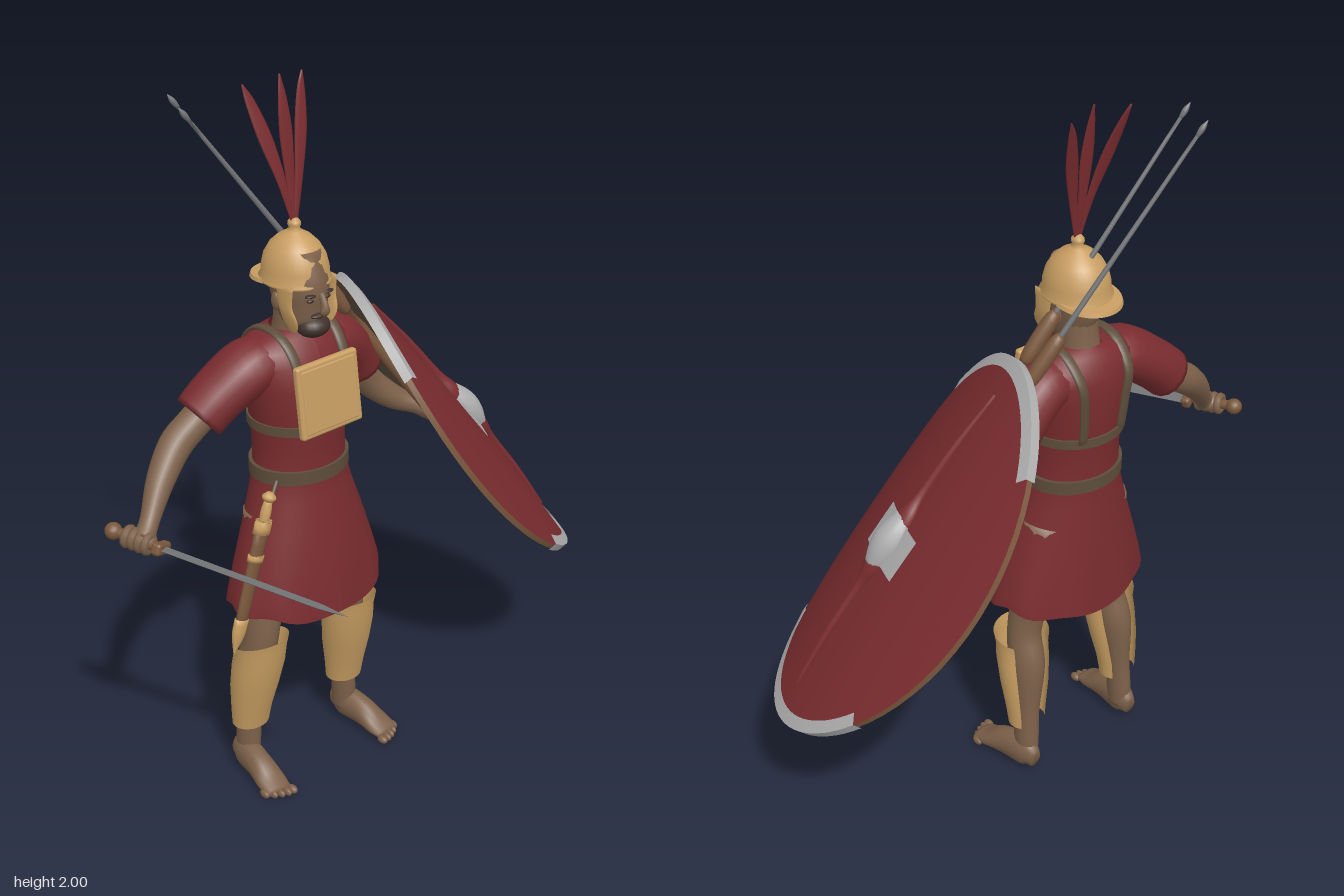
import * as THREE from 'three';
import { RoundedBoxGeometry } from 'three/addons/geometries/RoundedBoxGeometry.js';

const V = (x, y, z) => new THREE.Vector3(x, y, z);
const X = V(1, 0, 0), Y = V(0, 1, 0), Z = V(0, 0, 1);
const CX = -0.16; // body centre line

const make = (name, color, side = THREE.FrontSide) => {
  const m = new THREE.MeshStandardMaterial({ color, side });
  m.name = name;
  return m;
};
const red = make('red cloth', 0x7a2c2f, THREE.DoubleSide);
const gold = make('bronze', 0xc89e62, THREE.DoubleSide);
const skin = make('skin', 0x7d614a);
const leather = make('leather', 0x5e4d3b);
const wood = make('wood', 0x7a573c);
const silver = make('bright metal', 0xaeaeae, THREE.DoubleSide);
const steel = make('steel', 0x707274);
const hair = make('dark hair', 0x40312a);

function add(parent, name, geo, mat, x = 0, y = 0, z = 0) {
  const m = new THREE.Mesh(geo, mat);
  m.name = name;
  m.position.set(x, y, z);
  parent.add(m);
  return m;
}
const ball = (parent, name, mat, x, y, z, rx, ry = rx, rz = rx) =>
  add(parent, name, new THREE.SphereGeometry(1, 18, 12).scale(rx, ry, rz), mat, x, y, z);

function build(pos, idx) {
  const g = new THREE.BufferGeometry();
  g.setAttribute('position', new THREE.Float32BufferAttribute(pos, 3));
  g.setIndex(idx);
  g.computeVertexNormals();
  return g;
}

// Smooth tapering solid through points [x, y, z, radius across, radius along ref]
function limb(parent, name, mat, pts, ref = Z, sides = 16, steps = 5) {
  const path = new THREE.CatmullRomCurve3(pts.map(p => V(p[0], p[1], p[2])), false, 'catmullrom');
  const size = new THREE.CatmullRomCurve3(pts.map(p => V(p[3], p[4] ?? p[3], 0)), false, 'catmullrom');
  const n = (pts.length - 1) * steps, pos = [], idx = [];
  for (let i = 0; i <= n; i++) {
    const c = path.getPoint(i / n), r = size.getPoint(i / n), t = path.getTangent(i / n);
    const a = ref.clone().cross(t).normalize(), b = t.clone().cross(a);
    for (let j = 0; j < sides; j++) {
      const q = j / sides * Math.PI * 2;
      const p = c.clone().addScaledVector(a, r.x * Math.cos(q)).addScaledVector(b, r.y * Math.sin(q));
      pos.push(p.x, p.y, p.z);
      const k = i * sides + j, l = i * sides + (j + 1) % sides;
      if (i < n) idx.push(k, l, k + sides, l, l + sides, k + sides);
    }
  }
  const e = (n + 1) * sides;
  pos.push(...path.getPoint(0).toArray(), ...path.getPoint(1).toArray());
  for (let j = 0; j < sides; j++) {
    const l = (j + 1) % sides, o = n * sides;
    idx.push(e, l, j, e + 1, o + j, o + l);
  }
  return add(parent, name, build(pos, idx), mat);
}

// Surface patch from fn(u, v), facing du x dv
function patch(parent, name, mat, fn, nu, nv) {
  const pos = [], idx = [];
  for (let i = 0; i <= nu; i++) for (let j = 0; j <= nv; j++) {
    pos.push(...fn(i / nu, j / nv));
    const a = i * (nv + 1) + j, b = a + nv + 1;
    if (i < nu && j < nv) idx.push(a, b, a + 1, b, b + 1, a + 1);
  }
  return add(parent, name, build(pos, idx), mat);
}

function buildTunic(g) {
  // rows: y, half width, half depth, centre z
  const rows = [[.565, .245, .155, -.11], [.6, .24, .152, -.11], [.68, .217, .145, -.112], [.78, .185, .133, -.116],
    [.88, .152, .12, -.122], [.95, .135, .112, -.125], [1.03, .13, .116, -.125], [1.12, .138, .125, -.125],
    [1.21, .158, .126, -.13], [1.27, .172, .115, -.138], [1.31, .162, .1, -.14], [1.335, .125, .08, -.14], [1.35, .065, .06, -.14]];
  patch(g, 'tunic', red, (u, v) => {
    const q = u * Math.PI * 2, k = Math.round(v * (rows.length - 1)), [y, rx, rz, cz] = rows[k];
    const hem = Math.max(0, 1 - k / 3), fold = 1 + .02 * hem * Math.cos(q * 9);
    return [CX + rx * fold * Math.sin(q), y + hem * (.035 * Math.sin(q) ** 2 - .025 + .006 * Math.cos(q * 7)), cz + rz * fold * Math.cos(q)];
  }, 54, rows.length - 1);
  const band = (name, y, rx, rz, h) =>
    add(g, name, new THREE.CylinderGeometry(1, 1, h, 40).scale(rx, 1, rz), leather, CX, y, -.125);
  band('belt', .955, .144, .121, .038);
  band('chestBand', 1.095, .142, .13, .026);
  for (const s of [-1, 1]) limb(g, 'shoulderStrap', leather, [[.08, 1.1, .002], [.08, 1.2, -.012], [.08, 1.29, -.034], [.085, 1.346, -.09],
    [.085, 1.346, -.18], [.08, 1.28, -.244], [.07, 1.19, -.246], [.065, 1.1, -.238]].map(p => [CX + s * p[0], p[1], p[2], .007, .016]), X, 8);
  const plate = add(g, 'chestPlate', new RoundedBoxGeometry(.205, .2, .022, 3, .008), gold, CX - .002, 1.19, .002);
  plate.rotation.x = -.12;
  add(plate, 'chestPlatePanel', new RoundedBoxGeometry(.18, .175, .01, 2, .004), gold, 0, 0, .009);
}

function buildLeg(g, s) {
  const mx = pts => pts.map(([o, ...r]) => [CX + s * o, ...r]);
  limb(g, 'leg', skin, mx([[.09, .82, -.13, .08, .085], [.13, .6, -.125, .055, .064], [.155, .46, -.115, .046, .052],
    [.165, .35, -.138, .048, .057], [.175, .2, -.152, .034, .04], [.18, .1, -.158, .032, .04], [.182, .04, -.16, .03, .038]]));
  limb(g, 'foot', skin, mx([[.185, .04, -.205, .018, .028], [.187, .05, -.165, .034, .05], [.196, .043, -.09, .037, .043],
    [.203, .024, -.03, .043, .024], [.206, .014, .012, .038, .013]]), Y);
  for (let i = 0; i < 5; i++)
    ball(g, 'toe', skin, CX + s * (.172 + i * .018), .012, .025 - i * i * .0022, i ? .009 : .012, .012, .018);
  // greave rows: y, offset, centre z, half width, half depth
  const rows = [[.16, .175, -.152, .055, .047], [.22, .174, -.146, .06, .055], [.3, .17, -.134, .071, .066],
    [.38, .165, -.12, .078, .07], [.43, .162, -.113, .078, .068], [.465, .162, -.11, .083, .072]];
  patch(g, 'greave', gold, (u, v) => {
    const q = (u - .5) * 4.5, [y, o, cz, rx, rz] = rows[Math.round(v * 5)];
    return [CX + s * o + rx * Math.sin(q), y - .015 * (1 - Math.cos(q)) * v, cz + rz * Math.cos(q)];
  }, 28, 5);
}

function buildHead(g) {
  limb(g, 'neck', skin, [[CX, 1.27, -.15, .06], [CX, 1.35, -.14, .052], [CX, 1.43, -.13, .052]]);
  limb(g, 'head', skin, [[CX, 1.342, -.07, .025, .03], [CX, 1.37, -.085, .05, .058], [CX, 1.42, -.103, .062, .083],
    [CX, 1.48, -.112, .069, .09], [CX, 1.56, -.12, .055, .075]], Z, 24);
  limb(g, 'nose', skin, [[CX, 1.465, -.022, .007], [CX, 1.435, -.01, .01, .011], [CX, 1.418, -.008, .014, .011], [CX, 1.41, -.018, .009]], Z, 10);
  ball(g, 'beard', hair, CX, 1.365, -.056, .047, .03, .042);
  ball(g, 'moustache', hair, CX, 1.403, -.027, .03, .007, .012);
  for (const s of [-1, 1]) {
    ball(g, 'eye', hair, CX + s * .027, 1.447, -.033, .012, .006, .008);
    ball(g, 'brow', hair, CX + s * .028, 1.461, -.03, .018, .005, .01);
    ball(g, 'ear', skin, CX + s * .066, 1.43, -.125, .009, .025, .015);
    limb(g, 'cheekGuard', gold, [[CX + s * .073, 1.485, -.08, .006, .034], [CX + s * .073, 1.43, -.077, .007, .026],
      [CX + s * .066, 1.39, -.066, .006, .028], [CX + s * .058, 1.36, -.062, .004, .012]]);
  }
  // helmet bowl with knob, and a rear brim
  const prof = [[.09, 0], [.092, .006], [.086, .012], [.085, .035], [.078, .066], [.063, .094], [.042, .115], [.02, .128],
    [.013, .136], [.017, .145], [.016, .153], [.009, .161], [0, .163]].map(p => new THREE.Vector2(...p));
  add(g, 'helmet', new THREE.LatheGeometry(prof, 36).scale(1, 1, 1.1), gold, CX, 1.477, -.124);
  const brim = add(g, 'helmetBrim', new THREE.CylinderGeometry(.086, .09, .01, 36).scale(1, 1, 1.07), gold, CX, 1.48, -.166);
  brim.rotation.x = -.08;
  for (const s of [-1, 0, 1]) {
    const at = (k, y, z, r) => [CX + s * .095 * k, y, z, r, .003];
    limb(g, 'feather', red, [at(.04, 1.625, -.122, .006), at(.3, 1.74, -.136, .014), at(.6, 1.85, s ? -.16 : -.148, .021),
      at(.85, 1.94, s ? -.185 : -.16, .014), at(1, s ? 1.985 : 2, s ? -.198 : -.17, .002)], Z, 10);
  }
}

function buildArms(g) {
  limb(g, 'rightSleeve', red, [[-.22, 1.265, -.14, .06, .08], [-.3, 1.262, -.147, .073, .086], [-.39, 1.205, -.165, .07, .08], [-.45, 1.153, -.175, .07, .072]]);
  limb(g, 'rightArm', skin, [[-.4, 1.19, -.17, .045], [-.47, 1.14, -.176, .044], [-.53, 1.1, -.172, .044], [-.6, 1.035, -.145, .037],
    [-.665, .96, -.108, .026], [-.7, .925, -.09, .03]]);
  limb(g, 'leftSleeve', red, [[-.1, 1.265, -.14, .06, .08], [-.02, 1.262, -.147, .073, .086], [.05, 1.2, -.16, .07, .078], [.09, 1.14, -.165, .066, .07]]);
  limb(g, 'leftArm', skin, [[.05, 1.18, -.165, .045], [.13, 1.075, -.172, .042], [.2, 1.01, -.145, .035], [.255, .98, -.11, .026], [.3, .955, -.09, .03, .036], [.325, .94, -.08, .02, .03]]);
  for (let i = 0; i < 4; i++) limb(g, 'leftFinger', skin, [[.305, .96 - i * .004, -.125 + i * .022, .01],
    [.335, .93 - i * .005, -.12 + i * .022, .009], [.335, .9 - i * .003, -.125 + i * .022, .006]], Z, 8);
}

function buildSword(g) {
  const sword = new THREE.Group();
  sword.name = 'sword';
  sword.position.set(-.735, .93, -.17);
  sword.quaternion.setFromUnitVectors(Y, V(.357, -.09, .93).normalize());
  g.add(sword);
  ball(sword, 'pommel', wood, 0, 0, 0, .023);
  add(sword, 'grip', new THREE.CylinderGeometry(.014, .014, .13, 14), wood, 0, .07, 0);
  add(sword, 'guard', new RoundedBoxGeometry(.062, .028, .034, 3, .01), wood, 0, .142, 0);
  const flat = geo => { const f = geo.scale(1, 1, .35).toNonIndexed(); f.computeVertexNormals(); return f; };
  add(sword, 'blade', flat(new THREE.CylinderGeometry(.022, .024, .45, 4)), steel, 0, .375, 0);
  add(sword, 'bladeTip', flat(new THREE.ConeGeometry(.022, .075, 4)), steel, 0, .637, 0);
  ball(sword, 'palm', skin, .004, .08, -.004, .03, .045, .028);
  for (let i = 0; i < 4; i++)
    add(sword, 'finger', new THREE.TorusGeometry(.021, .011, 8, 16).rotateX(Math.PI / 2), skin, 0, .045 + i * .02, 0);
}

function buildSheath(g) {
  // points down the sheath from t = 0 (dagger pommel) to t = 1 (tip)
  const at = (t, r, q = r) => [-.325 - .14 * t, .94 - .445 * t, -.045, r, q];
  const part = (name, mat, list) => limb(g, name, mat, list.map(p => at(...p)), Z, 12, 3);
  part('daggerPommel', gold, [[0, .008], [.03, .02], [.06, .01]]);
  part('daggerGrip', gold, [[.05, .011], [.12, .015], [.19, .012]]);
  part('sheathMouth', gold, [[.17, .026, .018], [.25, .027, .018]]);
  part('sheath', wood, [[.23, .022, .014], [.5, .021, .013], [.8, .019, .012]]);
  part('sheathBand', gold, [[.38, .025, .017], [.42, .025, .017]]);
  part('sheathTip', gold, [[.78, .022, .015], [.88, .02, .014], [1, .002, .002]]);
  limb(g, 'sheathHanger', leather, [[-.29, .955, -.06, .006], [-.35, .87, -.04, .006], [-.365, .84, -.045, .006]], Z, 8);
}

function buildShield(g) {
  // local x runs across the shield, y down its length, z out of its face
  const d = V(.57, -.8, .175).normalize(), w = V(-.35, -.05, .93);
  w.addScaledVector(d, -w.dot(d)).normalize();
  const shield = new THREE.Group();
  shield.name = 'shield';
  shield.applyMatrix4(new THREE.Matrix4().makeBasis(w, d, w.clone().cross(d)).setPosition(.415, .93, -.077));
  g.add(shield);
  const a = .57, b = .365, T = Math.PI * 2;
  const on = (x, y, off) => [x, y, off - .1 * (x / b) ** 2 - .015 * (y / a) ** 2];
  const polar = (r, q, off) => on(b * r * Math.cos(q), a * r * Math.sin(q), off);
  patch(shield, 'shieldFace', red, (u, v) => polar(u, v * T, 0), 10, 64);
  patch(shield, 'shieldBack', leather, (u, v) => polar(v, u * T, -.016), 64, 10);
  patch(shield, 'shieldEdge', wood, (u, v) => polar(1, v * T, -.016 * u), 1, 64);
  for (const s of [-1, 1]) {
    const arc = v => s * Math.PI / 2 + (v - .5) * 1.64;
    patch(shield, 'rimFace', silver, (u, v) => polar(.94 + .065 * u, arc(v), .006), 2, 28);
    patch(shield, 'rimEdge', silver, (u, v) => polar(1.005, arc(v), .006 - .026 * u), 1, 28);
  }
  patch(shield, 'bossPlate', silver, (u, v) => on((u - .5) * .21, (v - .5) * .125, .006), 10, 4);
  limb(shield, 'spine', red, [[0, -.47, -.01, .006], [0, -.3, 0, .009, .011], [0, -.15, 0, .013, .016], [0, -.07, 0, .035, .028],
    [0, .07, 0, .035, .028], [0, .15, 0, .013, .016], [0, .3, 0, .009, .011], [0, .47, -.01, .006]], Z, 14);
  limb(shield, 'boss', silver, [[0, -.078, 0, .03, .028], [0, -.04, 0, .043, .041], [0, 0, 0, .048, .047], [0, .04, 0, .043, .041], [0, .078, 0, .03, .028]], Z, 18);
}

function buildJavelin(g, from, to) {
  const at = (t, r) => [...V(...from).lerp(V(...to), t).toArray(), r];
  const part = (name, mat, list) => limb(g, name, mat, list.map(p => at(...p)), Z, 10, 3);
  part('javelinPoint', steel, [[0, .001], [.012, .008], [.024, .005]]);
  part('javelinShank', steel, [[.015, .005], [.36, .008]]);
  part('javelinSocket', wood, [[.335, .012], [.35, .021], [.4, .021], [.42, .014]]);
  part('javelinShaft', wood, [[.4, .014], [1, .014]]);
}

export function createModel() {
  const g = new THREE.Group();
  g.name = 'ancientSoldier';
  buildTunic(g);
  for (const s of [-1, 1]) buildLeg(g, s);
  buildHead(g);
  buildArms(g);
  buildSword(g);
  buildSheath(g);
  buildShield(g);
  buildJavelin(g, [-.425, 1.955, -.228], [.62, .47, .02]);
  buildJavelin(g, [-.38, 1.955, -.335], [.68, .42, 0]);
  return g;
}
